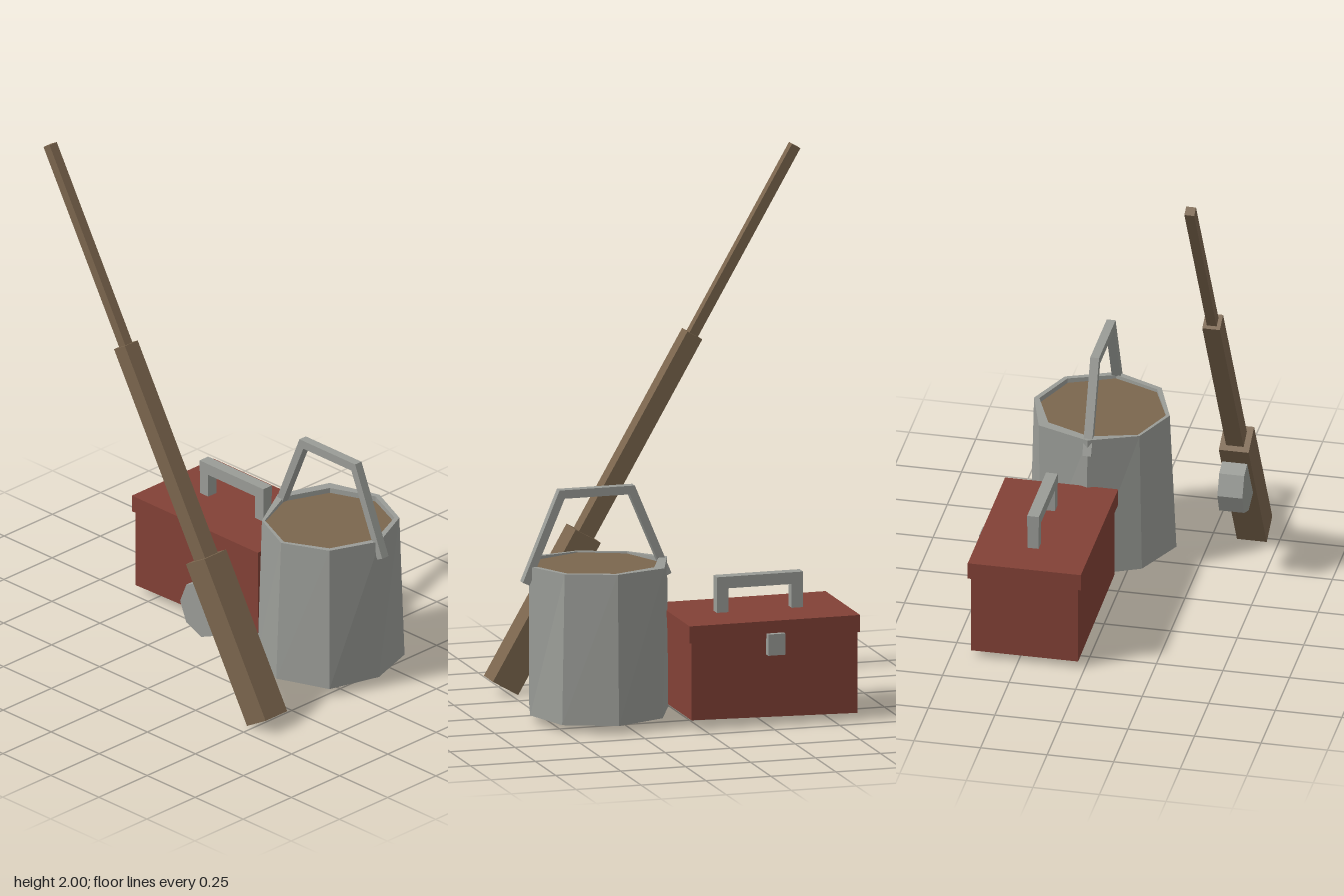
import * as THREE from 'three';

const mat = (name, color) => {
  const m = new THREE.MeshStandardMaterial({ color, flatShading: true });
  m.name = name;
  return m;
};

export function createModel() {
  const model = new THREE.Group();
  model.name = 'fishingGear';
  const wood = mat('wood', 0x7b664e);
  const red = mat('redPaint', 0x824136);
  const metal = mat('greyMetal', 0x9a9c97);

  const add = (parent, name, geometry, material, x = 0, y = 0, z = 0) => {
    const mesh = new THREE.Mesh(geometry, material);
    mesh.name = name;
    mesh.position.set(x, y, z);
    parent.add(mesh);
    return mesh;
  };
  const group = (name) => {
    const g = new THREE.Group();
    g.name = name;
    model.add(g);
    return g;
  };
  // box given by its limits on each axis
  const block = (parent, name, material, [x0, x1], [y0, y1], [z0, z1]) =>
    add(parent, name, new THREE.BoxGeometry(x1 - x0, y1 - y0, z1 - z0), material,
      (x0 + x1) / 2, (y0 + y1) / 2, (z0 + z1) / 2);

  // fishing rod: three square sections along one leaning axis
  const rod = group('fishingRod');
  rod.position.set(0.522, 0.028, 0.4);
  rod.rotation.z = Math.PI / 6;
  const sections = [['rodGrip', 0, 0.637, 0.112], ['rodMiddle', 0.62, 1.472, 0.066], ['rodTip', 1.46, 2.261, 0.037]];
  for (const [name, from, to, width] of sections) {
    add(rod, name, new THREE.BoxGeometry(width, to - from, width), wood, 0, (from + to) / 2, 0);
  }

  // reel: octagonal drum beside the grip
  const reel = add(model, 'reel', new THREE.CylinderGeometry(0.11, 0.11, 0.094, 8), metal, 0.221, 0.381, 0.395);
  reel.rotation.x = Math.PI / 2;

  // tackle box with overhanging lid, carrying handle and rear latch
  const box = group('tackleBox');
  const body = block(box, 'boxBody', red, [-0.59, 0.048], [0.026, 0.335], [-0.428, -0.025]);
  const pos = body.geometry.attributes.position;
  for (let i = 0; i < pos.count; i++) {
    if (pos.getX(i) > 0 && pos.getY(i) < 0) pos.setY(i, pos.getY(i) + 0.014); // uneven base
  }
  block(box, 'boxLid', red, [-0.598, 0.058], [0.332, 0.396], [-0.438, -0.013]);
  block(box, 'latch', metal, [-0.304, -0.238], [0.27, 0.35], [-0.458, -0.42]);
  block(box, 'boxHandleBar', metal, [-0.438, -0.106], [0.486, 0.53], [-0.249, -0.205]);
  for (const x of [-0.438, -0.15]) {
    block(box, 'boxHandlePost', metal, [x, x + 0.044], [0.39, 0.488], [-0.248, -0.206]);
  }

  // bucket: slightly irregular octagonal rings, from base centre up and over the rim
  const bucket = group('bucket');
  bucket.position.set(0.318, 0, -0.127);
  const N = 8;
  const baseR = [0.257, 0.281, 0.277, 0.265, 0.276, 0.272, 0.272, 0.275];
  const topR = [0.262, 0.258, 0.252, 0.249, 0.27, 0.28, 0.258, 0.256];
  const topY = [0.59, 0.588, 0.58, 0.582, 0.594, 0.595, 0.596, 0.594];
  const rings = [
    (k) => [0, 0.032],
    (k) => [baseR[k], 0.03],
    (k) => [topR[k], topY[k]],
    (k) => [0.238, topY[k]],
    (k) => [0.236, 0.56],
  ];
  const point = (ring, k) => {
    const [r, y] = ring(k % N);
    const a = (k % N) * Math.PI * 2 / N;
    return [r * Math.cos(a), y, r * Math.sin(a)];
  };
  const verts = [];
  for (let i = 0; i + 1 < rings.length; i++) {
    for (let k = 0; k < N; k++) {
      const a = point(rings[i], k), b = point(rings[i], k + 1);
      const c = point(rings[i + 1], k), d = point(rings[i + 1], k + 1);
      if (i > 0) verts.push(...a, ...c, ...b);
      verts.push(...b, ...c, ...d);
    }
  }
  const shell = new THREE.BufferGeometry();
  shell.setAttribute('position', new THREE.Float32BufferAttribute(verts, 3));
  shell.computeVertexNormals();
  add(bucket, 'bucketShell', shell, metal);
  add(bucket, 'bucketFill', new THREE.CylinderGeometry(0.239, 0.239, 0.02, N), wood, 0, 0.566, 0);

  // bucket handle: angular hoop cut from a flat bar
  const outer = [[0.286, 0.534], [0.145, 0.872]];
  const inner = [[0.125, 0.84], [0.26, 0.522]];
  const half = [...outer, ...inner];
  const outline = [half[0], half[1], ...[half[1], half[0], half[3], half[2]].map(([x, y]) => [-x, y]), half[2], half[3]];
  const hoop = new THREE.Shape(outline.map(([x, y]) => new THREE.Vector2(x, y)));
  const hoopGeo = new THREE.ExtrudeGeometry(hoop, { depth: 0.033, bevelEnabled: false });
  add(bucket, 'bucketHandle', hoopGeo, metal, 0.004, 0, -0.0165);

  return model;
}
